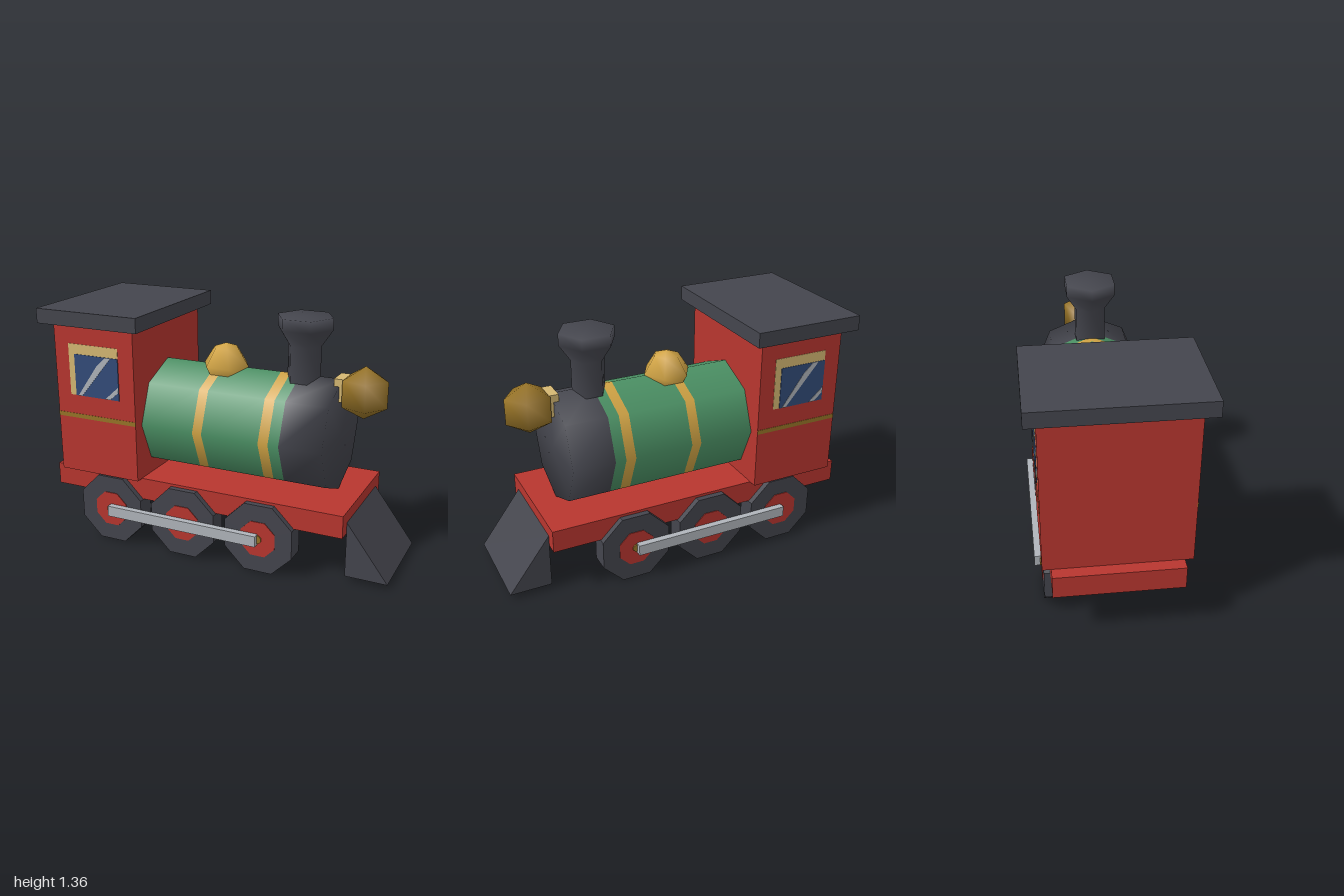
import * as THREE from 'three';

const paint = (name, color) => {
  const m = new THREE.MeshStandardMaterial({ color });
  m.name = name;
  return m;
};

export function createModel() {
  const red = paint('red', 0xb8362f);
  const green = paint('green', 0x4b9064);
  const dark = paint('charcoal', 0x44454d);
  const gold = paint('gold', 0xd0a344);
  const ochre = paint('ochre', 0x987427);
  const tan = paint('tan', 0xd6b873);
  const blue = paint('glass blue', 0x334c7a);
  const silver = paint('silver', 0xb0b5bb);

  const model = new THREE.Group();
  model.name = 'locomotive';

  const add = (name, geometry, material, parent = model) => {
    const mesh = new THREE.Mesh(geometry, material);
    mesh.name = name;
    parent.add(mesh);
    return mesh;
  };
  // Box given by its limits on each axis
  const box = (name, material, [x0, x1], [y0, y1], [z0, z1], parent) => {
    const g = new THREE.BoxGeometry(x1 - x0, y1 - y0, z1 - z0);
    g.translate((x0 + x1) / 2, (y0 + y1) / 2, (z0 + z1) / 2);
    return add(name, g, material, parent);
  };
  const outline = (pts) => new THREE.Shape(pts.map(([x, y]) => new THREE.Vector2(x, y)));
  const extrude = (pts, depth, z) =>
    new THREE.ExtrudeGeometry(outline(pts), { depth, bevelEnabled: false }).translate(0, 0, z);
  const lathe = (pts, sides, start = 0) =>
    new THREE.LatheGeometry(pts.map(([r, y]) => new THREE.Vector2(r, y)), sides, start);

  // Chassis, cab and roof
  box('chassis', red, [-1, 0.765], [0.28, 0.407], [-0.335, 0.335]);
  box('cab', red, [-0.935, -0.43], [0.405, 1.272], [-0.38, 0.38]);
  box('roof', dark, [-1, -0.37], [1.272, 1.355], [-0.44, 0.44]);

  // Wedge-shaped track guard
  add('trackGuard', extrude([[0.765, 0.028], [1, 0.028], [0.765, 0.342]], 0.53, -0.265), dark);

  // Eight-sided boiler, in coloured lengths along x
  const boiler = new THREE.Group();
  boiler.name = 'boiler';
  boiler.position.y = 0.72;
  boiler.rotation.z = -Math.PI / 2;
  model.add(boiler);
  const R = 0.315;
  [
    ['boilerRear', -0.43, -0.115, green],
    ['rearBand', -0.115, -0.06, gold],
    ['boilerMiddle', -0.06, 0.273, green],
    ['frontBand', 0.273, 0.33, gold],
    ['boilerFront', 0.33, 0.39, green],
  ].forEach(([name, a, b, mat]) => add(name, lathe([[R, a], [R, b]], 8), mat, boiler));
  add('smokebox', lathe([[R, 0.39], [R, 0.627], [0, 0.627]], 8), dark, boiler);

  // Six-sided chimney and steam dome
  add('chimney', lathe([[0.095, 0.98], [0.095, 1.2], [0.157, 1.292], [0.157, 1.355], [0, 1.355]],
    6, Math.PI / 2), dark).position.x = 0.407;
  add('steamDome', lathe([[0.1, 0.975], [0.135, 1.04], [0.072, 1.137], [0, 1.163]],
    6, Math.PI / 2), gold).position.x = -0.055;

  // Headlamp on its bracket
  box('lampBracket', tan, [0.597, 0.66], [0.925, 1.05], [-0.062, 0.062]);
  add('headlamp', new THREE.SphereGeometry(0.145, 5, 3, Math.PI), ochre).position.set(0.748, 0.975, 0);

  // Window and stripe, turned half round for the other side of the cab
  for (const turn of [0, Math.PI]) {
    const side = new THREE.Group();
    side.name = turn ? 'rightCabTrim' : 'leftCabTrim';
    side.position.x = -0.6825;
    side.rotation.y = turn;
    model.add(side);
    box('stripe', ochre, [-0.2525, 0.2525], [0.731, 0.756], [0.377, 0.382], side);
    box('windowFrame', tan, [-0.162, 0.156], [0.867, 1.162], [0.377, 0.382], side);
    box('windowPane', blue, [-0.124, 0.156], [0.867, 1.105], [0.379, 0.385], side);
    add('longGlare', extrude([[-0.108, 0.868], [-0.084, 0.868], [0.112, 1.104], [0.077, 1.104],
      [0.02, 1.05]], 0.004, 0.383), silver, side);
    add('shortGlare', extrude([[0.068, 0.868], [0.1, 0.868], [0.154, 0.915], [0.154, 0.945]],
      0.004, 0.383), silver, side);
  }

  // Eight-sided wheels with a flat side down; hubs and axle pins show on both faces
  const disc = (inradius, width) =>
    new THREE.CylinderGeometry(inradius / Math.cos(Math.PI / 8), inradius / Math.cos(Math.PI / 8),
      width, 8, 1, false, Math.PI / 8).toNonIndexed().rotateX(Math.PI / 2);
  const flat = (g) => {
    g.computeVertexNormals();
    return g;
  };
  const tyreGeo = flat(disc(0.196, 0.112));
  const hubGeo = flat(disc(0.1, 0.12));
  const pinGeo = flat(disc(0.023, 0.135));
  for (const s of [1, -1]) {
    for (const x of [-0.622, -0.16, 0.302]) {
      const wheel = new THREE.Group();
      wheel.name = 'wheel';
      wheel.position.set(x, 0.196, s * 0.312);
      model.add(wheel);
      add('tyre', tyreGeo, dark, wheel);
      add('hub', hubGeo, red, wheel);
      add('axlePin', pinGeo, ochre, wheel);
    }
    // Connecting rod
    const rod = add('connectingRod', new THREE.BoxGeometry(0.925, 0.062, 0.036), silver);
    rod.position.set(-0.16, 0.196, s * 0.391);
  }

  return model;
}
